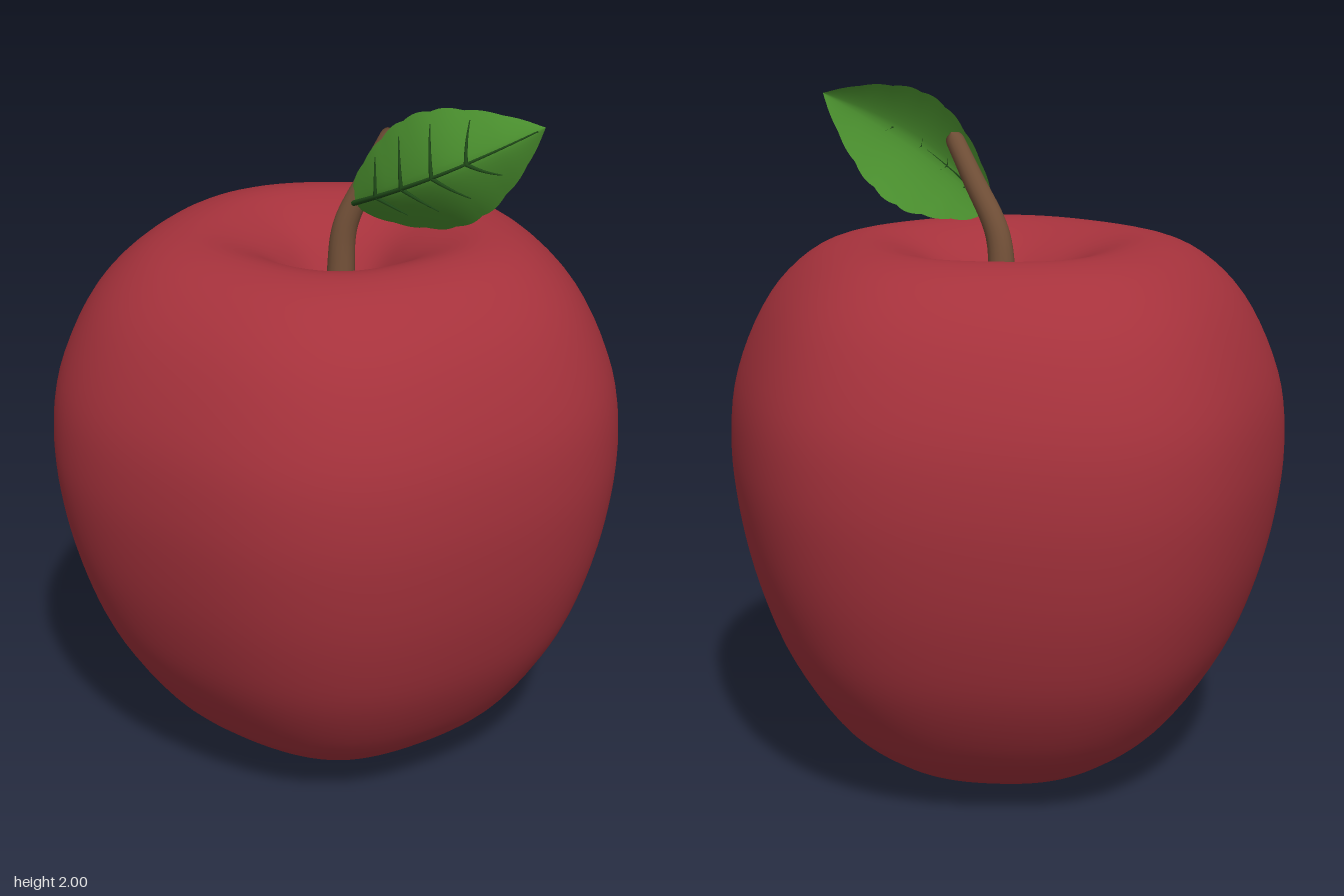
import * as THREE from 'three';
import { mergeVertices } from 'three/addons/utils/BufferGeometryUtils.js';

const V2 = (x, y) => new THREE.Vector2(x, y);
const V3 = (x, y, z) => new THREE.Vector3(x, y, z);
const curve = (pts) => new THREE.CatmullRomCurve3(pts.map((p) => V3(...p)));

const skinRed = new THREE.MeshStandardMaterial({ color: 0xa6323c });
const stemBrown = new THREE.MeshStandardMaterial({ color: 0x76533a });
const leafGreen = new THREE.MeshStandardMaterial({ color: 0x4a8f2e, side: THREE.DoubleSide });
const veinGreen = new THREE.MeshStandardMaterial({ color: 0x1f4a18 });
Object.entries({ skinRed, stemBrown, leafGreen, veinGreen }).forEach(([n, m]) => { m.name = n; });

function addMesh(parent, name, geometry, material) {
  const mesh = new THREE.Mesh(geometry, material);
  mesh.name = name;
  parent.add(mesh);
  return mesh;
}

// Fruit: lathed profile with hollows at both ends, swelling into five soft lobes
function fruitGeometry() {
  const profile = new THREE.SplineCurve([
    V2(0, 0.06), V2(0.04, 0.05), V2(0.09, 0.015), V2(0.16, 0), V2(0.27, 0.025),
    V2(0.39, 0.085), V2(0.53, 0.2), V2(0.665, 0.4), V2(0.745, 0.6), V2(0.792, 0.8),
    V2(0.81, 1.0), V2(0.785, 1.2), V2(0.69, 1.41), V2(0.56, 1.54), V2(0.42, 1.587),
    V2(0.3, 1.565), V2(0.19, 1.5), V2(0.1, 1.38), V2(0.05, 1.29), V2(0, 1.26),
  ]).getPoints(90);
  profile.forEach((p) => { p.x = Math.max(p.x, 0); p.y = Math.max(p.y, 0); });
  let geo = new THREE.LatheGeometry(profile, 90);
  geo.deleteAttribute('uv');
  geo.deleteAttribute('normal');
  const pos = geo.attributes.position;
  for (let i = 0; i < pos.count; i++) {
    const x = pos.getX(i), z = pos.getZ(i);
    const a = Math.atan2(z, x);
    const k = 0.997 + 0.021 * Math.cos(5 * a) - 0.018 * Math.cos(a);
    pos.setX(i, x * k);
    pos.setZ(i, z * k);
  }
  geo = mergeVertices(geo, 1e-5);
  geo.computeVertexNormals();
  return geo;
}

// Tube whose rings are scaled by a radius rule along the path
function taperedTube(path, rings, sides, radiusAt) {
  const geo = new THREE.TubeGeometry(path, rings, 1, sides);
  const pos = geo.attributes.position;
  const p = V3(0, 0, 0);
  for (let i = 0; i < pos.count; i++) {
    const t = Math.floor(i / (sides + 1)) / rings;
    const c = path.getPointAt(t);
    p.fromBufferAttribute(pos, i).sub(c).multiplyScalar(radiusAt(t)).add(c);
    pos.setXYZ(i, p.x, p.y, p.z);
  }
  return geo;
}

// Leaf surface: t runs base to tip, s runs -1 (lower edge) to 1 (upper edge)
const LEAF_LENGTH = 0.642;
const midrib = curve([[0, 0, 0.02], [0.25, 0, 0.11], [0.55, 0, 0.168], [0.8, 0, 0.15], [1, 0, 0.1]]);
const outline = curve([
  [0, 0.012, 0], [0.05, 0.055, 0], [0.15, 0.098, 0], [0.27, 0.136, 0], [0.42, 0.165, 0],
  [0.6, 0.158, 0], [0.8, 0.1, 0], [0.92, 0.045, 0], [1, 0, 0],
]);
const midribSamples = midrib.getPoints(200);
const outlineSamples = outline.getPoints(200);

// Reads one coordinate of a sampled curve at a given x
function sample(points, x, axis) {
  let i = 1;
  while (i < points.length - 1 && points[i].x < x) i++;
  const a = points[i - 1], b = points[i];
  const f = THREE.MathUtils.clamp((x - a.x) / (b.x - a.x || 1), 0, 1);
  return a[axis] + (b[axis] - a[axis]) * f;
}

function leafPoint(t, s, lift = 0) {
  const teeth = 0.975 + 0.035 * Math.abs(Math.sin(t * Math.PI * 7));
  const w = sample(outlineSamples, t, 'y') * (1 + (teeth - 1) * s * s);
  const along = t * LEAF_LENGTH, across = s * w;
  const fold = w * (s > 0 ? 0.4 : 0.55) * Math.pow(Math.abs(s), 1.4);
  return V3(
    0.04 + 0.888 * along - 0.46 * across,
    1.67 + 0.46 * along + 0.888 * across,
    sample(midribSamples, t, 'z') - fold + lift,
  );
}

function leafGeometry() {
  const geo = new THREE.PlaneGeometry(1, 1, 56, 16);
  const pos = geo.attributes.position;
  for (let i = 0; i < pos.count; i++) {
    const p = leafPoint(pos.getX(i) + 0.5, pos.getY(i) * 2);
    pos.setXYZ(i, p.x, p.y, p.z);
  }
  geo.computeVertexNormals();
  return geo;
}

// Vein: thin tapered tube laid on the front of the leaf
function veinGeometry(t0, s0, t1, s1, radius) {
  const pts = [];
  for (let i = 0; i <= 12; i++) {
    const f = i / 12;
    pts.push(leafPoint(t0 + (t1 - t0) * f, s0 + (s1 - s0) * f, 0.005));
  }
  return taperedTube(new THREE.CatmullRomCurve3(pts), 20, 6, (t) => radius * (1 - 0.75 * t));
}

export function createModel() {
  const apple = new THREE.Group();
  apple.name = 'apple';
  addMesh(apple, 'fruit', fruitGeometry(), skinRed);

  // Stem: bent and tapered, with a rounded tip
  const stemPath = curve([
    [-0.005, 1.24, 0], [-0.003, 1.45, 0], [0.012, 1.6, 0], [0.085, 1.76, -0.012], [0.145, 1.885, -0.02],
  ]);
  const stemRadius = (t) => {
    const r = 0.046 - 0.02 * t;
    const tip = Math.max(0, (t - 0.96) / 0.04);
    return r * Math.sqrt(Math.max(0, 1 - tip * tip));
  };
  addMesh(apple, 'stem', taperedTube(stemPath, 75, 16, stemRadius), stemBrown);

  // Leaf with midrib and side veins
  const leaf = new THREE.Group();
  leaf.name = 'leaf';
  apple.add(leaf);
  addMesh(leaf, 'leafBlade', leafGeometry(), leafGreen);
  addMesh(leaf, 'midrib', veinGeometry(0.01, 0, 0.97, 0, 0.008), veinGreen);
  for (const t of [0.16, 0.32, 0.49, 0.66]) {
    addMesh(leaf, 'upperVein', veinGeometry(t, 0, t + 0.07, 0.8, 0.006), veinGreen);
    addMesh(leaf, 'lowerVein', veinGeometry(t, 0, t + 0.1, -0.6, 0.006), veinGreen);
  }
  return apple;
}
